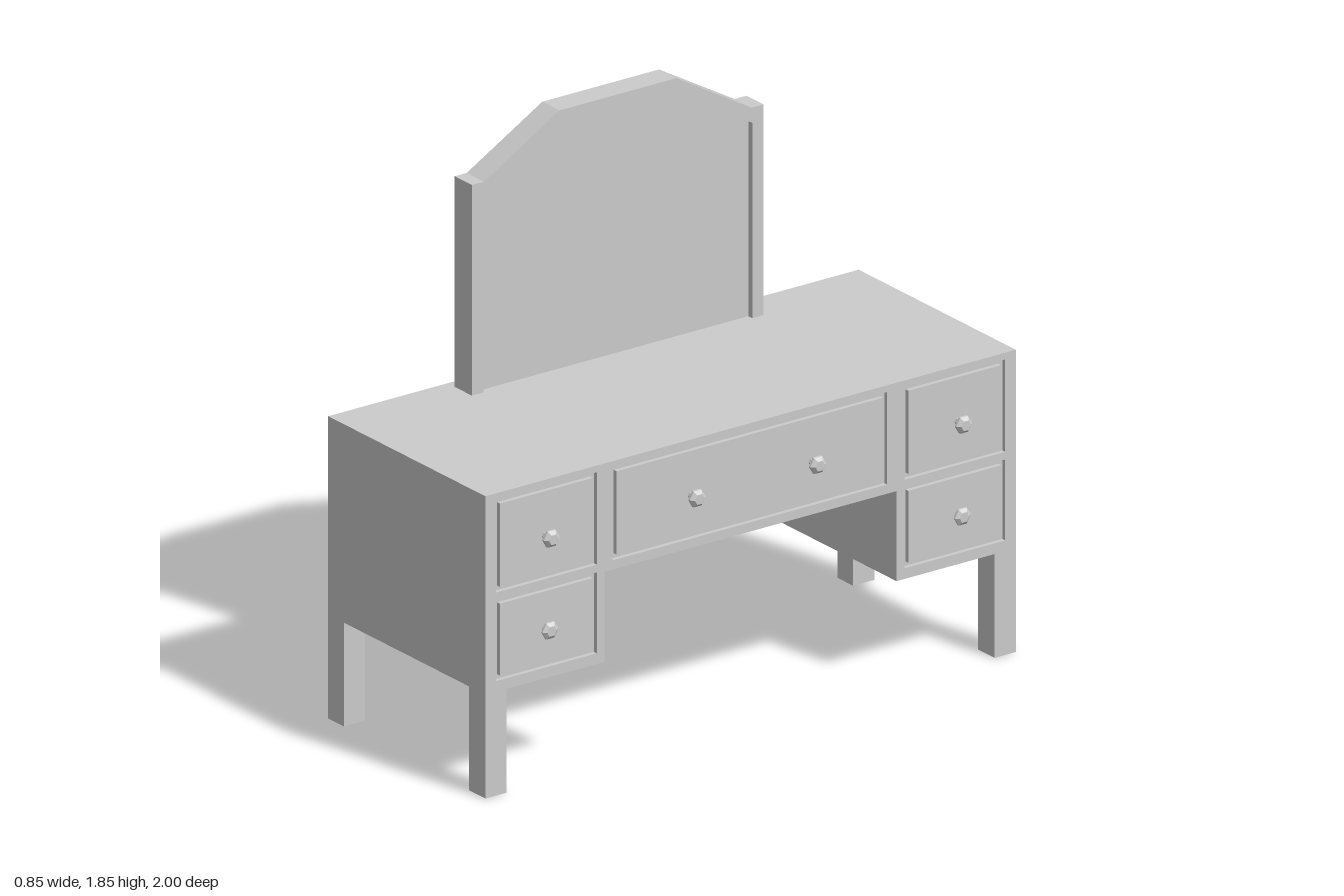
import * as THREE from 'three';

const material = new THREE.MeshStandardMaterial({ color: 0xcccccc, flatShading: true });
const BACK = -0.425, FRONT = 0.38, GROOVE = 0.015;

// Shapes are drawn with u = -z across and y up, then extruded along +x.
const outline = (points) => points.map(([u, y]) => new THREE.Vector2(u, y));
const rect = ([u0, u1, y0, y1], inset = 0) => outline([
  [u0 + inset, y0 + inset], [u1 - inset, y0 + inset],
  [u1 - inset, y1 - inset], [u0 + inset, y1 - inset]]);

function slab(name, points, x0, x1, holes = []) {
  const shape = new THREE.Shape(points);
  shape.holes = holes.map((h) => new THREE.Path(h));
  const geometry = new THREE.ExtrudeGeometry(shape, { depth: x1 - x0, bevelEnabled: false });
  geometry.rotateY(Math.PI / 2).translate(x0, 0, 0);
  const mesh = new THREE.Mesh(geometry, material);
  mesh.name = name;
  return mesh;
}

// Six-sided knob pointing along +x
function knob(y, z, scale) {
  const profile = outline([[0.012, 0], [0.01, 0.02], [0.03, 0.026], [0.03, 0.034], [0.018, 0.045], [0, 0.045]]);
  const geometry = new THREE.LatheGeometry(profile, 6);
  geometry.rotateZ(-Math.PI / 2);
  const mesh = new THREE.Mesh(geometry, material);
  mesh.name = 'knob';
  mesh.scale.x = scale;
  mesh.position.set(FRONT, y, z);
  return mesh;
}

export function createModel() {
  const group = new THREE.Group();
  group.name = 'dressingTable';

  // Cabinet with kneehole, and a front frame with drawer openings
  const body = outline([[-1, 0.34], [-0.55, 0.34], [-0.55, 0.635], [0.55, 0.635],
    [0.55, 0.34], [1, 0.34], [1, 0.99], [-1, 0.99]]);
  const drawers = [
    [-0.96, -0.58, 0.665, 0.968], [-0.96, -0.58, 0.375, 0.64],
    [-0.52, 0.515, 0.665, 0.968],
    [0.58, 0.96, 0.665, 0.968], [0.58, 0.96, 0.375, 0.64]];
  const face = FRONT - GROOVE;
  group.add(slab('cabinet', body, BACK, face));
  group.add(slab('frontFrame', body, face, FRONT, drawers.map((d) => rect(d))));
  for (const d of drawers) group.add(slab('drawerFront', rect(d, GROOVE), face, FRONT));

  // Knobs: one per small drawer, two on the wide one
  for (const z of [0.775, 0.225, -0.23, -0.78]) group.add(knob(0.808, z, 1));
  for (const z of [0.775, -0.78]) group.add(knob(0.505, z, 0.8));

  // Legs
  for (const x of [BACK + 0.04, FRONT - 0.0425]) {
    for (const z of [-0.96, 0.96]) {
      const leg = new THREE.Mesh(new THREE.BoxGeometry(x < 0 ? 0.08 : 0.085, 0.34, 0.08), material);
      leg.name = 'leg';
      leg.position.set(x, 0.17, z);
      group.add(leg);
    }
  }

  // Mirror: frame open at the bottom around a recessed panel
  const outer = [[0.55, 0.99], [0.55, 1.68], [0.505, 1.68], [0.22, 1.845]];
  const inner = [[0.507, 0.99], [0.507, 1.63], [0.22, 1.79]];
  const mirrored = (pts) => pts.map(([u, y]) => [-u, y]).reverse();
  group.add(slab('mirrorFrame', outline([...outer, ...mirrored(outer),
    ...inner.map(([u, y]) => [-u, y]), ...[...inner].reverse()]), -0.388, -0.3));
  group.add(slab('mirrorPanel', outline([...inner, ...mirrored(inner)]), -0.388, -0.32));

  return group;
}
